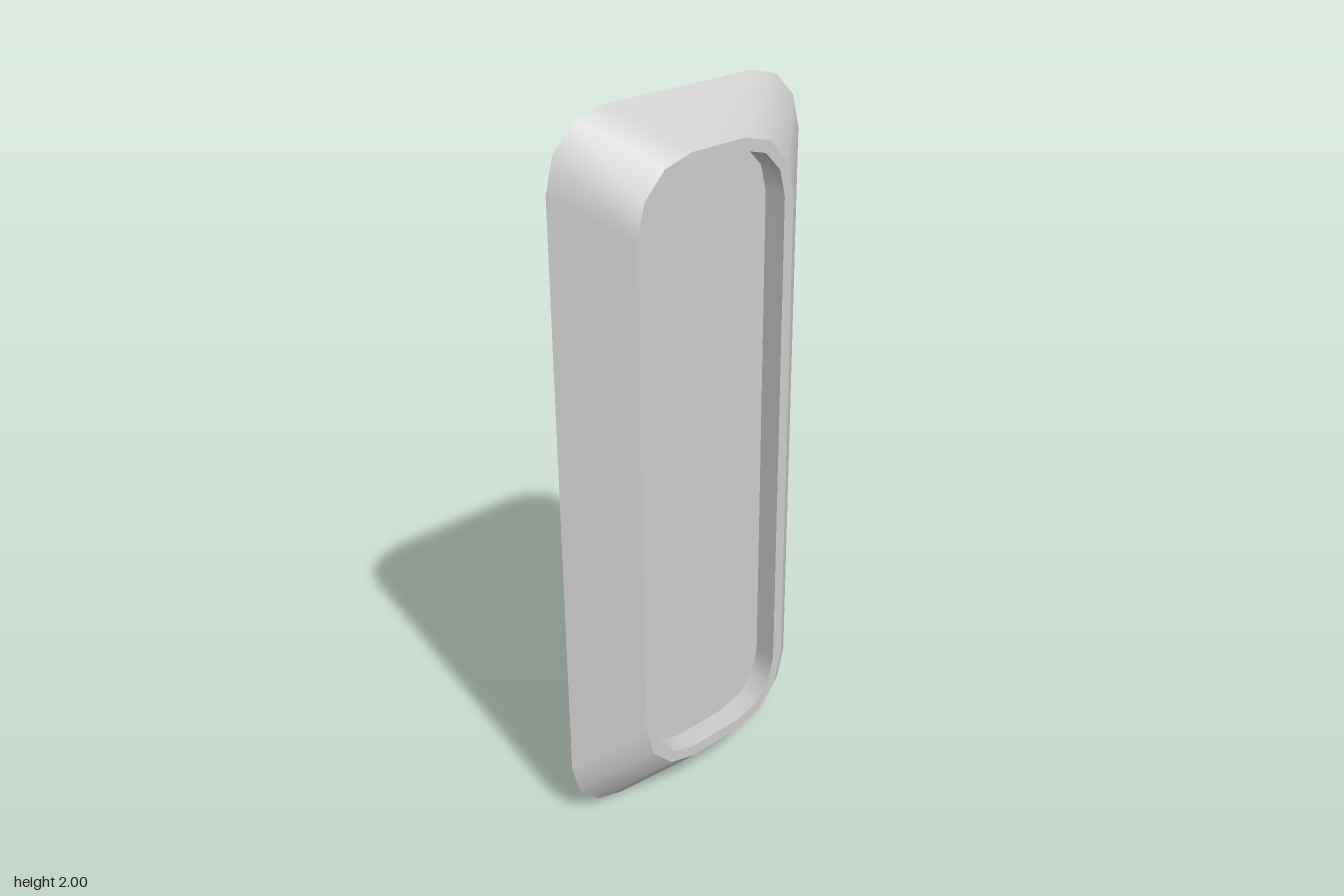
import * as THREE from 'three';

const FRONT = 0.067, BACK = -0.067, PANEL = 0;
const material = new THREE.MeshStandardMaterial({ color: 0xcccccc, side: THREE.DoubleSide });

// Rounded rectangle in the z-y plane at depth x, three segments per corner
function ring(x, halfZ, halfY, radius) {
  const points = [];
  const corners = [[1, 1], [-1, 1], [-1, -1], [1, -1]];
  corners.forEach(([sz, sy], q) => {
    for (let i = 0; i <= 3; i++) {
      const a = (q + i / 3) * Math.PI / 2;
      points.push([
        x,
        1 + sy * (halfY - radius) + radius * Math.sin(a),
        sz * (halfZ - radius) + radius * Math.cos(a),
      ]);
    }
  });
  return points;
}

// Closed band of faces between two rings, smooth along its length
function band(name, a, b) {
  const n = a.length, index = [];
  for (let i = 0; i < n; i++) {
    const j = (i + 1) % n;
    index.push(i, n + i, j, j, n + i, n + j);
  }
  const geometry = new THREE.BufferGeometry();
  geometry.setAttribute('position', new THREE.Float32BufferAttribute([...a, ...b].flat(), 3));
  geometry.setIndex(index);
  geometry.computeVertexNormals();
  const mesh = new THREE.Mesh(geometry, material);
  mesh.name = name;
  return mesh;
}

export function createModel() {
  const group = new THREE.Group();
  group.name = 'recessedPanel';

  const base = ring(BACK, 0.43, 1, 0.18);
  const rimOuter = ring(FRONT, 0.27, 0.883, 0.18);
  const rimInner = ring(FRONT, 0.237, 0.85, 0.147);
  const floor = ring(PANEL, 0.237, 0.85, 0.147);
  const centre = floor.map(() => [PANEL, 1, 0]);

  group.add(
    band('slopedSurround', base, rimOuter), // open at the back
    band('rim', rimOuter, rimInner),
    band('recessWall', rimInner, floor),
    band('panel', floor, centre),
  );
  return group;
}
